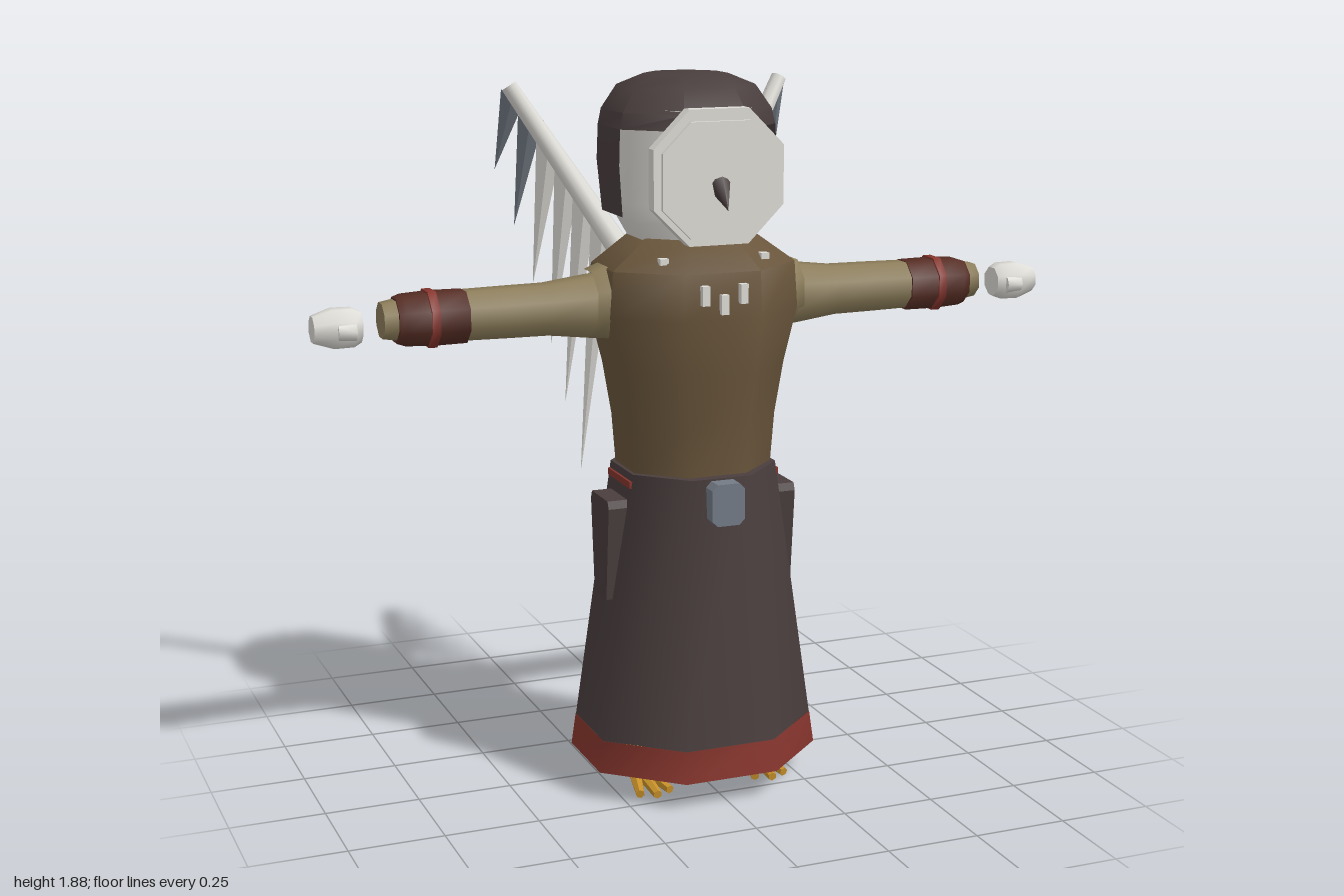
import * as THREE from 'three';
import { mergeVertices, toCreasedNormals } from 'three/addons/utils/BufferGeometryUtils.js';

const V = (x, y, z) => new THREE.Vector3(x, y, z);
const UP = V(0, 1, 0);
const SIDES = 8;
const CZ = 0.065; // the robe's axis sits slightly forward

function makeMaterials() {
  const colors = {
    darkCloth: 0x4a3e3e, brownCloth: 0x6a563c, tanCloth: 0x8c7d5a, hemRed: 0x86352d,
    leather: 0x562d24, bone: 0xdedcd6, steel: 0x747b86, gold: 0xc8912a,
  };
  const mats = {};
  for (const [name, color] of Object.entries(colors)) {
    mats[name] = new THREE.MeshStandardMaterial({ color });
    mats[name].name = name;
  }
  mats.darkCloth.side = mats.hemRed.side = THREE.DoubleSide;
  return mats;
}

// Octagonal loft; rings run top to bottom as [y, halfX, halfZ, centreZ]
function loft(rings, start = 0, sectors = SIDES, crease = 0.95) {
  const step = (Math.PI * 2) / SIDES;
  let geo = new THREE.CylinderGeometry(1, 1, 1, sectors, rings.length - 1, true,
    step * (start + 0.5), step * sectors);
  const p = geo.attributes.position;
  const k = 1 / Math.cos(step / 2);
  for (let i = 0; i < p.count; i++) {
    const [y, hx, hz, cz] = rings[Math.floor(i / (sectors + 1))];
    p.setXYZ(i, p.getX(i) * hx * k, y, p.getZ(i) * hz * k + cz);
  }
  geo.deleteAttribute('uv');
  geo.deleteAttribute('normal');
  geo = mergeVertices(geo, 1e-5);
  return toCreasedNormals(geo, crease);
}

// Flat plate with cut corners, facing +z
function cutPlate(hx, hy, cut, depth) {
  const s = new THREE.Shape([
    [hx, -hy + cut], [hx, hy - cut], [hx - cut, hy], [-hx + cut, hy],
    [-hx, hy - cut], [-hx, -hy + cut], [-hx + cut, -hy], [hx - cut, -hy],
  ].map(([x, y]) => new THREE.Vector2(x, y)));
  return new THREE.ExtrudeGeometry(s, { depth, bevelEnabled: false });
}

export function createModel() {
  const M = makeMaterials();
  const model = new THREE.Group();
  model.name = 'owlPriest';

  function add(name, geo, mat, pos = V(0, 0, 0), parent = model) {
    const mesh = new THREE.Mesh(geo, mat);
    mesh.name = name;
    mesh.position.copy(pos);
    parent.add(mesh);
    return mesh;
  }
  // Tapered rod from a to b
  function rod(name, a, b, ra, rb, mat, parent, sides = 8) {
    const d = b.clone().sub(a);
    const geo = new THREE.CylinderGeometry(rb, ra, d.length(), sides);
    const mesh = add(name, toCreasedNormals(geo, 0.9), mat, a.clone().add(b).multiplyScalar(0.5), parent);
    mesh.quaternion.setFromUnitVectors(UP, d.normalize());
    return mesh;
  }
  // Turned piece along the arm; points are [distance from body, radius]
  function armPiece(name, points, s, mat, y, z, parent) {
    const geo = new THREE.LatheGeometry(points.map(([x, r]) => new THREE.Vector2(r, x)), 8, Math.PI / 8);
    const mesh = add(name, toCreasedNormals(geo, 0.9), mat, V(0, y, z), parent);
    mesh.rotation.z = -s * Math.PI / 2;
    return mesh;
  }

  // Skirt, hem and closed underside
  add('skirt', loft([[0.87, 0.001, 0.001, CZ], [0.87, 0.2, 0.2, CZ], [0.165, 0.296, 0.264, CZ]]), M.darkCloth);
  add('skirtHem', loft([[0.165, 0.297, 0.265, CZ], [0.08, 0.308, 0.276, CZ]]), M.hemRed);
  add('skirtUnderside', loft([[0.085, 0.305, 0.274, CZ], [0.085, 0.001, 0.001, CZ]]), M.darkCloth);

  // Tunic
  add('tunic', loft([
    [1.475, 0.001, 0.001, 0.06], [1.475, 0.15, 0.15, 0.055], [1.4, 0.25, 0.2, CZ],
    [1.28, 0.258, 0.205, CZ], [1.14, 0.222, 0.2, CZ], [1.0, 0.2, 0.182, CZ], [0.86, 0.19, 0.172, CZ],
  ]), M.brownCloth);

  // Head with mask and beak
  add('head', loft([
    [1.8, 0.185, 0.19, 0.025], [1.56, 0.192, 0.185, 0.027],
    [1.515, 0.18, 0.15, 0.052], [1.45, 0.145, 0.13, 0.055],
  ]), M.bone);
  add('maskRim', cutPlate(0.175, 0.17, 0.095, 0.035), M.bone, V(0, 1.637, 0.205));
  add('maskFace', cutPlate(0.155, 0.145, 0.075, 0.015), M.bone, V(0, 1.632, 0.237));
  const beak = add('beak', new THREE.ConeGeometry(0.03, 0.085, 6), M.darkCloth, V(0, 1.59, 0.268));
  beak.rotation.x = 2.35;

  // Hood: full crown, open at the face below the brow
  add('hoodCrown', loft([
    [1.88, 0.001, 0.001, 0.015], [1.878, 0.1, 0.1, 0.015], [1.85, 0.165, 0.16, 0.015],
    [1.79, 0.203, 0.196, 0.018], [1.75, 0.212, 0.2, 0.02],
  ], 0, SIDES, 0.8), M.darkCloth);
  add('hoodBack', loft([[1.75, 0.212, 0.2, 0.02], [1.66, 0.216, 0.203, 0.022], [1.53, 0.208, 0.185, 0.03]],
    1, 5, 0.8), M.darkCloth);
  const tip = add('hoodTip', new THREE.ConeGeometry(0.045, 0.13, 4), M.darkCloth, V(0, 1.735, -0.175));
  tip.rotation.x = Math.PI + 0.35;

  // Belt buckle and chest ornaments
  add('beltBuckle', cutPlate(0.045, 0.055, 0.015, 0.045), M.steel, V(0, 0.81, 0.265));
  [-0.052, 0, 0.052].forEach((x) => {
    const y = x === 0 ? 1.322 : 1.347;
    add('chestPin', new THREE.BoxGeometry(0.02, 0.05, 0.025), M.bone, V(x, y, 0.272));
  });

  for (const s of [1, -1]) {
    const side = s > 0 ? 'left' : 'right';

    // Arm
    const arm = new THREE.Group();
    arm.name = side + 'Arm';
    model.add(arm);
    armPiece('shoulder', [[0.2, 0.105], [0.25, 0.098], [0.285, 0.085]], s, M.tanCloth, 1.313, 0.058, arm);
    armPiece('sleeve', [[0.24, 0.088], [0.29, 0.083], [0.4, 0.069], [0.5, 0.068], [0.62, 0.066], [0.79, 0.053],
      [0.825, 0.047], [0.825, 0]], s, M.tanCloth, 1.3, 0.052, arm);
    armPiece('cuff', [[0.61, 0.06], [0.612, 0.07], [0.7, 0.071], [0.77, 0.067], [0.79, 0.06], [0.79, 0.045]],
      s, M.leather, 1.298, 0.052, arm);
    armPiece('cuffBand', [[0.69, 0.06], [0.69, 0.076], [0.712, 0.076], [0.712, 0.06]], s, M.hemRed, 1.298, 0.052, arm);
    armPiece('hand', [[0.88, 0], [0.88, 0.04], [0.9, 0.051], [0.95, 0.052], [1, 0.035], [1, 0]],
      s, M.bone, 1.292, 0.065, arm);
    rod('thumb', V(s * 0.9, 1.288, 0.102), V(s * 0.945, 1.288, 0.102), 0.025, 0.022, M.bone, arm);

    // Wing bone with six hanging feathers
    const wing = new THREE.Group();
    wing.name = side + 'Wing';
    model.add(wing);
    const base = V(s * 0.1, 1.37, -0.135);
    const end = V(s * 0.385, 1.835, -0.265);
    rod('wingBone', base, end, 0.034, 0.022, M.bone, wing);
    const across = V(s * 0.91, 0, -0.41);
    [[0.96, 0.405, 1.61, -0.34], [0.82, 0.36, 1.46, -0.32], [0.67, 0.315, 1.3, -0.305],
      [0.52, 0.27, 1.13, -0.295], [0.37, 0.235, 0.97, -0.282], [0.22, 0.2, 0.78, -0.26],
    ].forEach(([t, x, y, z], i) => {
      const root = base.clone().lerp(end, t);
      const point = V(s * x, y, z);
      const d = point.clone().sub(root);
      const len = d.length();
      d.normalize();
      const wide = across.clone().addScaledVector(d, -across.dot(d)).normalize();
      const geo = new THREE.ConeGeometry(1, len, 4).scale(0.034, 1, 0.012);
      const f = add('feather', toCreasedNormals(geo, 0.3), i < 2 ? M.steel : M.bone,
        root.add(point).multiplyScalar(0.5), wing);
      f.quaternion.setFromRotationMatrix(
        new THREE.Matrix4().makeBasis(wide, d, wide.clone().cross(d)));
    });

    // Hip pocket and the red trim above it
    const flap = new THREE.Shape([[-0.045, -0.135], [0.045, -0.135], [0.068, 0.115], [0.06, 0.135],
      [-0.06, 0.135], [-0.068, 0.115]].map(([x, y]) => new THREE.Vector2(x, y)));
    const pocket = add('hipPocket', new THREE.ExtrudeGeometry(flap, { depth: 0.07, bevelEnabled: false }),
      M.darkCloth, V(s * 0.193, 0.665, 0.07));
    pocket.rotation.y = s * Math.PI / 2;
    add('hipTrim', new THREE.BoxGeometry(0.02, 0.018, 0.165), M.hemRed, V(s * 0.199, 0.842, 0.067));

    // Collar stud
    add('collarStud', new THREE.BoxGeometry(0.022, 0.016, 0.022), M.bone, V(s * 0.137, 1.428, 0.205));

    // Bird foot
    const foot = new THREE.Group();
    foot.name = side + 'Foot';
    model.add(foot);
    const fx = s * 0.165;
    rod('shin', V(fx, 0.1, 0.04), V(fx, 0.035, 0.08), 0.028, 0.024, M.gold, foot);
    for (const k of [-1, 0, 1]) {
      rod('toe', V(fx + k * 0.01, 0.036, 0.075), V(fx + k * 0.042, 0.016, 0.23 - Math.abs(k) * 0.02),
        0.02, 0.012, M.gold, foot, 6);
    }
  }
  return model;
}
